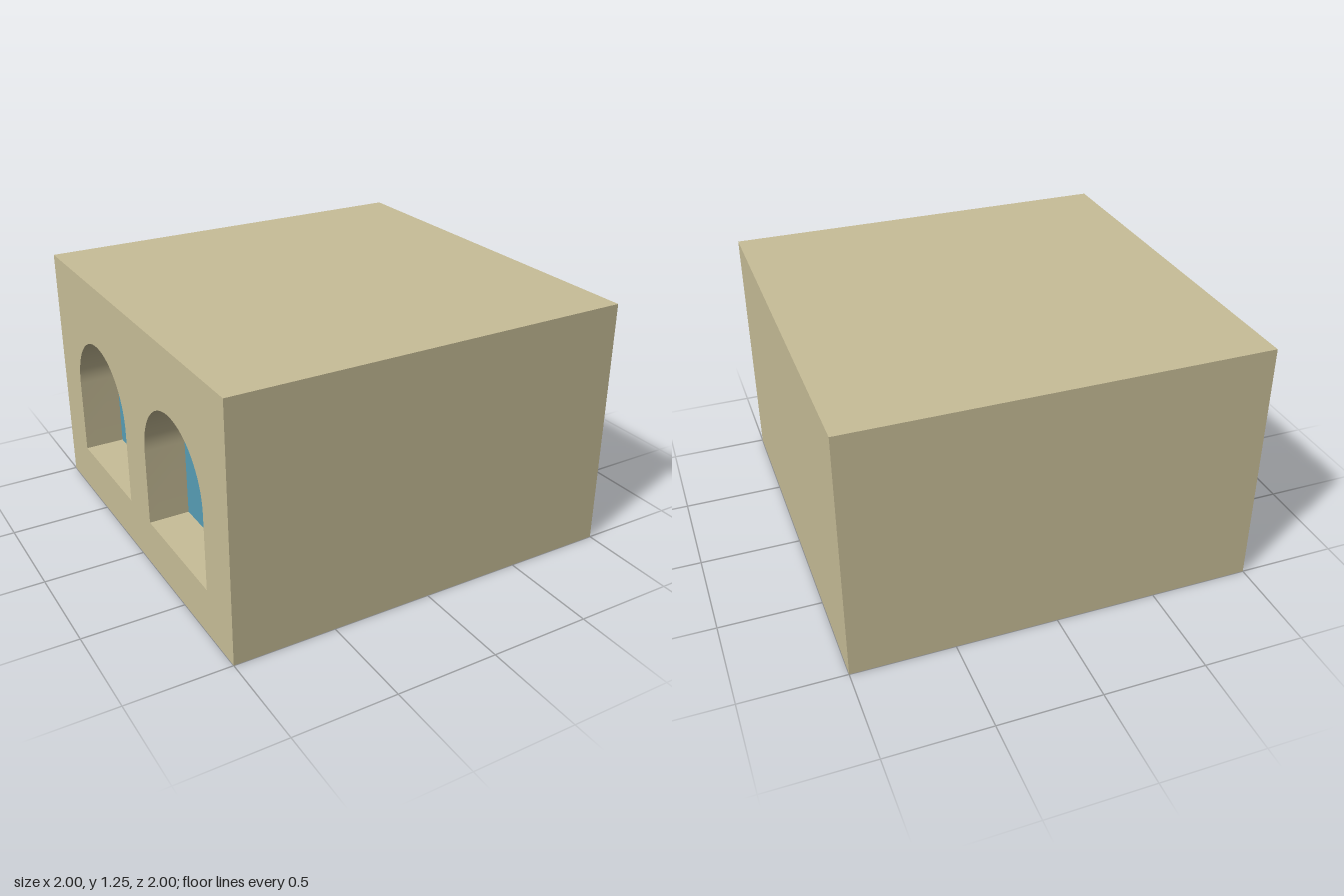
import * as THREE from 'three';
import { toCreasedNormals } from 'three/addons/utils/BufferGeometryUtils.js';

const HEIGHT = 1.25, DEPTH = 0.2;
const SILL = 0.235, SPRING = 0.617, RADIUS = 0.318, CENTRE = 0.4375;

// Round-headed window outline, counter-clockwise
function arch(cx, target) {
  target.moveTo(cx - RADIUS, SILL);
  target.lineTo(cx + RADIUS, SILL);
  target.lineTo(cx + RADIUS, SPRING);
  target.absarc(cx, SPRING, RADIUS, 0, Math.PI, false);
  target.closePath();
  return target;
}

// Inward-facing strip running round an outline from z = front to z = back
function revealGeometry(points, front, back) {
  const positions = [], index = [];
  points.forEach((p, i) => {
    positions.push(p.x, p.y, front, p.x, p.y, back);
    if (i === points.length - 1) return;
    const a = i * 2;
    index.push(a, a + 2, a + 1, a + 1, a + 2, a + 3);
  });
  const geometry = new THREE.BufferGeometry();
  geometry.setAttribute('position', new THREE.Float32BufferAttribute(positions, 3));
  geometry.setIndex(index);
  return toCreasedNormals(geometry, 0.6);
}

export function createModel() {
  const model = new THREE.Group();
  model.name = 'building';
  const wall = new THREE.MeshStandardMaterial({ color: 0xc8be98 });
  const glass = new THREE.MeshStandardMaterial({ color: 0x579eb6 });
  const add = (parent, name, geometry, material) => {
    const mesh = new THREE.Mesh(geometry, material);
    mesh.name = name;
    parent.add(mesh);
    return mesh;
  };

  // Plain block, left open on the -x side where the window wall goes
  const block = new THREE.BoxGeometry(2, HEIGHT, 2);
  const faces = Array.from(block.index.array);
  faces.splice(6, 6);
  block.setIndex(faces);
  block.clearGroups();
  add(model, 'block', block, wall).position.y = HEIGHT / 2;

  // Window wall, drawn facing +z and turned to face -x
  const side = new THREE.Group();
  side.name = 'windowSide';
  side.rotation.y = -Math.PI / 2;
  model.add(side);

  const outline = new THREE.Shape();
  outline.moveTo(-1, 0);
  outline.lineTo(1, 0);
  outline.lineTo(1, HEIGHT);
  outline.lineTo(-1, HEIGHT);
  outline.closePath();

  for (const cx of [-CENTRE, CENTRE]) {
    outline.holes.push(arch(cx, new THREE.Path()));
    const opening = arch(cx, new THREE.Shape());
    add(side, 'windowReveal', revealGeometry(opening.getPoints(24), 1, 1 - DEPTH), wall);
    add(side, 'windowPane', new THREE.ShapeGeometry(opening, 24), glass).position.z = 1 - DEPTH;
  }
  add(side, 'windowWall', new THREE.ShapeGeometry(outline, 24), wall).position.z = 1;

  return model;
}
